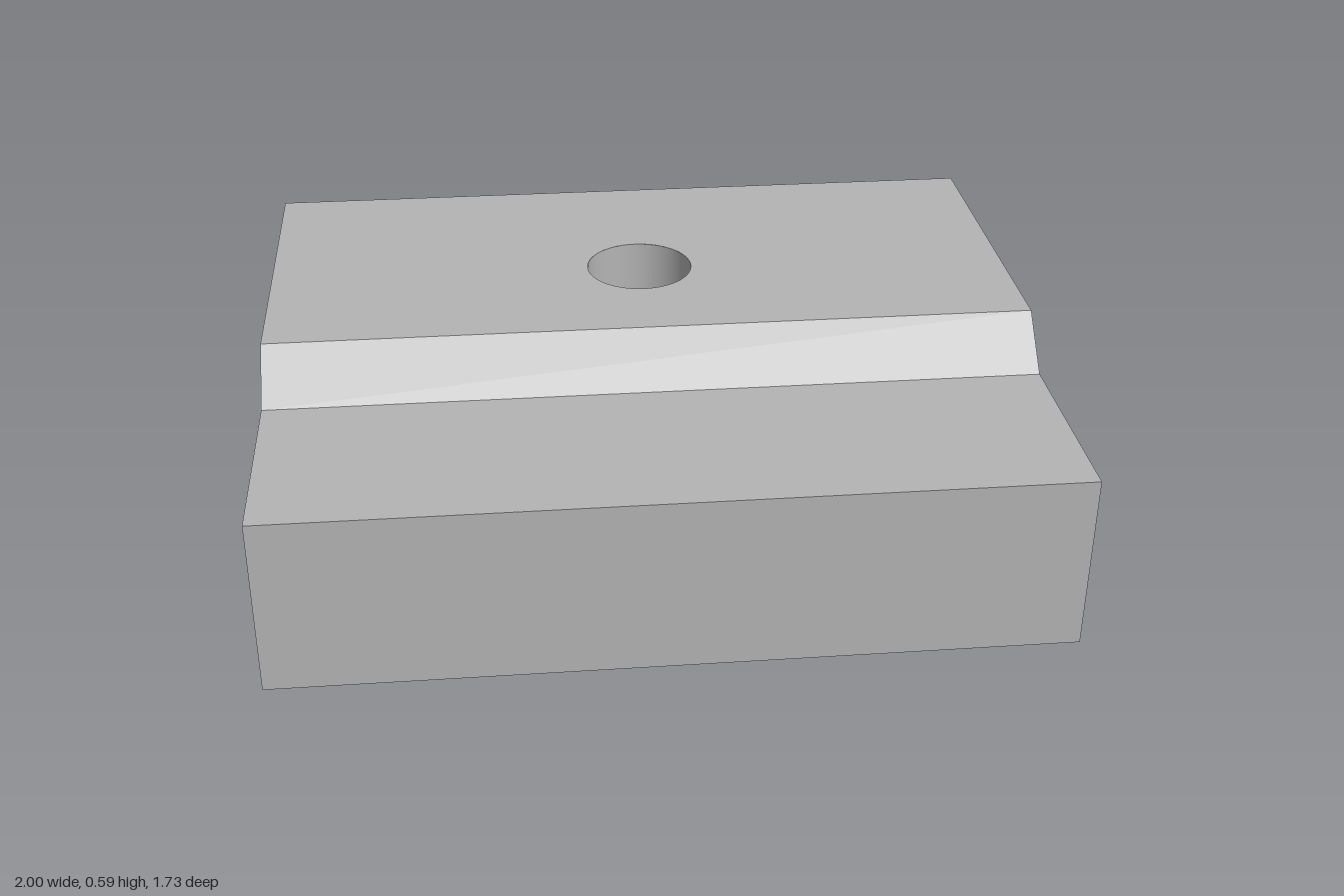
import * as THREE from 'three';

const TOP = 0.59, RAIL_FRONT = 0.21, RAIL_BACK = -0.685;
const HOLE = { z: -0.158, r: 0.142, depth: 0.3 };

// Side profile as (z, y), running along the underside slots first
function sideProfile() {
  const pts = [[-0.865, 0]];
  for (const z of [-0.49, 0.042, 0.574]) {
    pts.push([z, 0], [z, 0.08], [z + 0.148, 0.08], [z + 0.148, 0]);
  }
  pts.push([0.865, 0], [0.865, 0.467], [0.335, 0.467], [RAIL_FRONT, TOP],
    [RAIL_BACK, TOP], [-0.53, 0.435], [-0.53, 0.302], [-0.865, 0.302]);
  return new THREE.Shape(pts.map(([z, y]) => new THREE.Vector2(z, y)));
}

// Block extruded along x, leaving the top open for the drilled plate
function blockGeometry() {
  const g = new THREE.ExtrudeGeometry(sideProfile(), { depth: 2, bevelEnabled: false });
  g.rotateY(-Math.PI / 2).translate(1, 0, 0);
  const p = g.attributes.position.array;
  const kept = [];
  for (let i = 0; i < p.length; i += 9) {
    const isTop = [1, 4, 7].every((k) => Math.abs(p[i + k] - TOP) < 1e-4);
    if (!isTop) kept.push(...p.slice(i, i + 9));
  }
  const open = new THREE.BufferGeometry();
  open.setAttribute('position', new THREE.Float32BufferAttribute(kept, 3));
  open.computeVertexNormals();
  return open;
}

// Flat top face with a round opening
function topGeometry() {
  const s = new THREE.Shape();
  s.moveTo(-1, -RAIL_FRONT);
  s.lineTo(1, -RAIL_FRONT);
  s.lineTo(1, -RAIL_BACK);
  s.lineTo(-1, -RAIL_BACK);
  s.closePath();
  s.holes.push(new THREE.Path().absarc(0, -HOLE.z, HOLE.r, 0, Math.PI * 2, true));
  return new THREE.ShapeGeometry(s, 48).rotateX(-Math.PI / 2).translate(0, TOP, 0);
}

export function createModel() {
  const group = new THREE.Group();
  group.name = 'slottedRailBlock';
  const gray = new THREE.MeshStandardMaterial({ color: 0xb4b4b4 });
  gray.name = 'plain gray';
  const add = (name, geometry) => {
    const mesh = new THREE.Mesh(geometry, gray);
    mesh.name = name;
    group.add(mesh);
  };

  add('block', blockGeometry());
  add('topFace', topGeometry());

  // Blind hole: inward-facing wall and a flat floor
  const floorY = TOP - HOLE.depth;
  const wall = [new THREE.Vector2(HOLE.r, TOP), new THREE.Vector2(HOLE.r, floorY)];
  add('holeWall', new THREE.LatheGeometry(wall, 48).translate(0, 0, HOLE.z));
  add('holeFloor', new THREE.CircleGeometry(HOLE.r, 48)
    .rotateX(-Math.PI / 2).translate(0, floorY, HOLE.z));

  return group;
}
